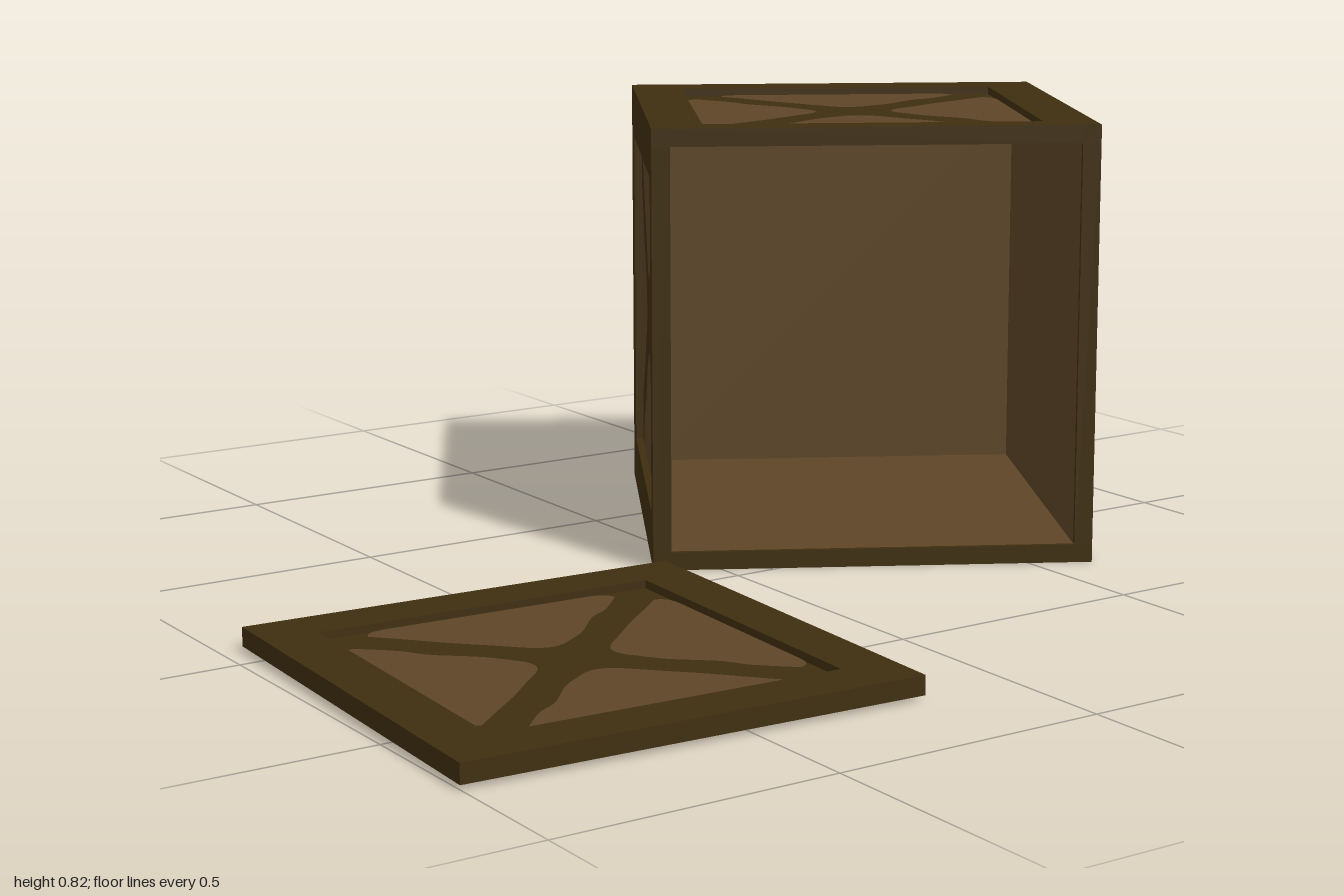
import * as THREE from 'three';

const H = 0.412;      // half side of the closed crate
const T = 0.034;      // wall thickness
const P = 0.315;      // half side of the sunken panel
const RECESS = 0.015; // panel depth below the frame

const material = (name, color) => {
  const m = new THREE.MeshStandardMaterial({ color });
  m.name = name;
  return m;
};

export function createModel() {
  const frameWood = material('darkFrameWood', 0x402f10);
  const panelWood = material('lightPanelWood', 0x5d4526);

  const add = (parent, name, geometry, mat, x = 0, y = 0, z = 0) => {
    const mesh = new THREE.Mesh(geometry, mat);
    mesh.name = name;
    mesh.position.set(x, y, z);
    parent.add(mesh);
    return mesh;
  };

  // One rounded, slightly wavy wedge of light wood between the arms of the cross
  const v = (x, y) => new THREE.Vector2(x, y);
  const wedge = new THREE.Shape();
  wedge.moveTo(-0.237, 0.288);
  wedge.quadraticCurveTo(-0.232, 0.314, -0.195, 0.314);
  wedge.lineTo(0.195, 0.314);
  wedge.quadraticCurveTo(0.232, 0.314, 0.237, 0.288);
  wedge.splineThru([v(0.185, 0.228), v(0.14, 0.195), v(0.085, 0.128), v(0.04, 0.092)]);
  wedge.quadraticCurveTo(0, 0.055, -0.04, 0.092);
  wedge.splineThru([v(-0.09, 0.14), v(-0.135, 0.182), v(-0.19, 0.24), v(-0.237, 0.288)]);
  const wedgeGeometry = new THREE.ShapeGeometry(wedge, 5);

  // A framed board facing +z with its outer face at z = 0; trim shortens its lower edge
  const board = (name, trim, liner) => {
    const group = new THREE.Group();
    group.name = name;
    const shape = new THREE.Shape([v(-H, -H + trim), v(H, -H + trim), v(H, H), v(-H, H)]);
    shape.holes.push(new THREE.Path([v(-P, -P), v(-P, P), v(P, P), v(P, -P)]));
    const frame = new THREE.ExtrudeGeometry(shape, { depth: T, bevelEnabled: false });
    add(group, 'frame', frame, frameWood, 0, 0, -T);
    const depth = T - RECESS;
    add(group, 'crossPanel', new THREE.BoxGeometry(2 * P, 2 * P, depth), frameWood, 0, 0, -T + depth / 2);
    for (let i = 0; i < 4; i++) {
      add(group, 'panelWedge', wedgeGeometry, panelWood, 0, 0, -RECESS + 0.002).rotation.z = i * Math.PI / 2;
    }
    // Plain light inner face
    const inner = new THREE.PlaneGeometry(2 * liner, 2 * liner - trim);
    add(group, 'innerFace', inner, panelWood, 0, trim / 2, -T - 0.002).rotation.y = Math.PI;
    return group;
  };

  const model = new THREE.Group();
  model.name = 'openCrate';

  // Crate body: four walls around the opening axis, plus the back
  const crate = new THREE.Group();
  crate.name = 'crate';
  ['topWall', 'leftWall', 'bottomWall', 'rightWall'].forEach((name, i) => {
    const pivot = new THREE.Group();
    pivot.name = name;
    const wall = board(name + 'Board', T, H - 0.001);
    wall.rotation.x = -Math.PI / 2;
    wall.position.y = H;
    pivot.add(wall);
    pivot.rotation.z = i * Math.PI / 2;
    crate.add(pivot);
  });
  const back = board('backWall', 0, H - 0.005);
  back.rotation.y = Math.PI;
  back.position.z = -H;
  crate.add(back);
  crate.position.set(0.435, H + 0.003, -0.24);
  crate.rotation.y = -0.52;
  model.add(crate);

  // Loose lid lying flat beside the crate
  const lid = board('lid', 0, H - 0.001);
  lid.rotation.set(-Math.PI / 2, 0, -0.048);
  lid.position.set(-0.57, 0.045, 0.36);
  model.add(lid);

  return model;
}
